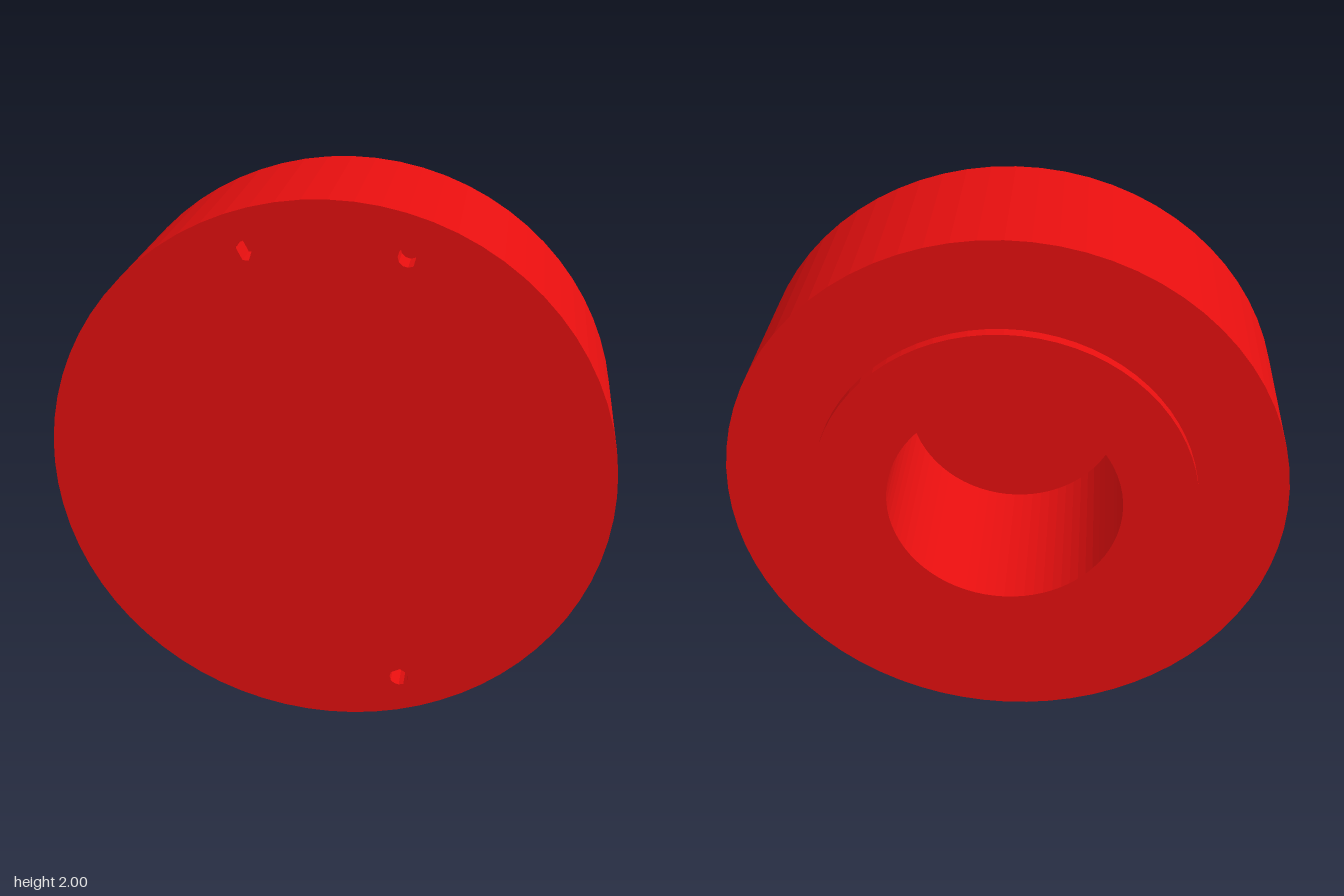
import * as THREE from 'three';

const FRONT = 0.33, BACK = -0.29, BOSS_BACK = -0.33;
const SIDES = 72, PIN_DEPTH = 0.1, PIN_RADIUS = 0.035;

// Polygon whose corners lie on a circle at the given angles (degrees)
function ring(cx, cy, r, angles) {
  return angles.map(a => {
    const t = THREE.MathUtils.degToRad(a);
    return new THREE.Vector2(cx + r * Math.cos(t), cy + r * Math.sin(t));
  });
}
const evenAngles = n => Array.from({ length: n }, (_, i) => (i * 360) / n);

// Inner side walls of a blind hole, from the front face inwards
function pocketWall(points) {
  const pos = [];
  points.forEach((a, i) => {
    const b = points[(i + 1) % points.length], z = FRONT - PIN_DEPTH;
    pos.push(a.x, a.y, FRONT, b.x, b.y, z, a.x, a.y, z);
    pos.push(a.x, a.y, FRONT, b.x, b.y, FRONT, b.x, b.y, z);
  });
  const g = new THREE.BufferGeometry();
  g.setAttribute('position', new THREE.Float32BufferAttribute(pos, 3));
  g.computeVertexNormals();
  return g;
}

export function createModel() {
  const group = new THREE.Group();
  const red = new THREE.MeshStandardMaterial({ color: 0xe60f0f, flatShading: true });
  const redInside = red.clone();
  redInside.side = THREE.DoubleSide;

  const add = (name, geometry, material = red) => {
    const mesh = new THREE.Mesh(geometry, material);
    mesh.name = name;
    mesh.position.y = 1;
    group.add(mesh);
  };

  // Bore floor, bore wall, raised rear boss, rear face and outer rim
  const profile = [
    [0, 0.32], [0.42, 0.32], [0.42, BOSS_BACK], [0.685, BOSS_BACK],
    [0.685, BACK], [1, BACK], [1, FRONT],
  ].map(([r, y]) => new THREE.Vector2(r, y));
  add('bodyWithBossAndBore', new THREE.LatheGeometry(profile, SIDES).rotateX(Math.PI / 2));

  // Three small blind holes, two of them slightly irregular
  const holes = [
    ring(0.265, 0.82, PIN_RADIUS, evenAngles(12)),
    ring(-0.27, 0.82, PIN_RADIUS, [40, 70, 100, 130, 165, 250, 285]),
    ring(0.265, -0.815, PIN_RADIUS, [0, 30, 85, 150, 180, 210, 240, 270, 300, 330]),
  ];

  // Front face pierced by the holes
  const face = new THREE.Shape(ring(0, 0, 1, evenAngles(SIDES)));
  face.holes = holes.map(points => new THREE.Path(points));
  add('frontFace', new THREE.ShapeGeometry(face).translate(0, 0, FRONT));

  holes.forEach((points, i) => {
    add(`pinHoleWall${i + 1}`, pocketWall(points), redInside);
    const floor = new THREE.ShapeGeometry(new THREE.Shape(points));
    add(`pinHoleFloor${i + 1}`, floor.translate(0, 0, FRONT - PIN_DEPTH));
  });

  return group;
}
